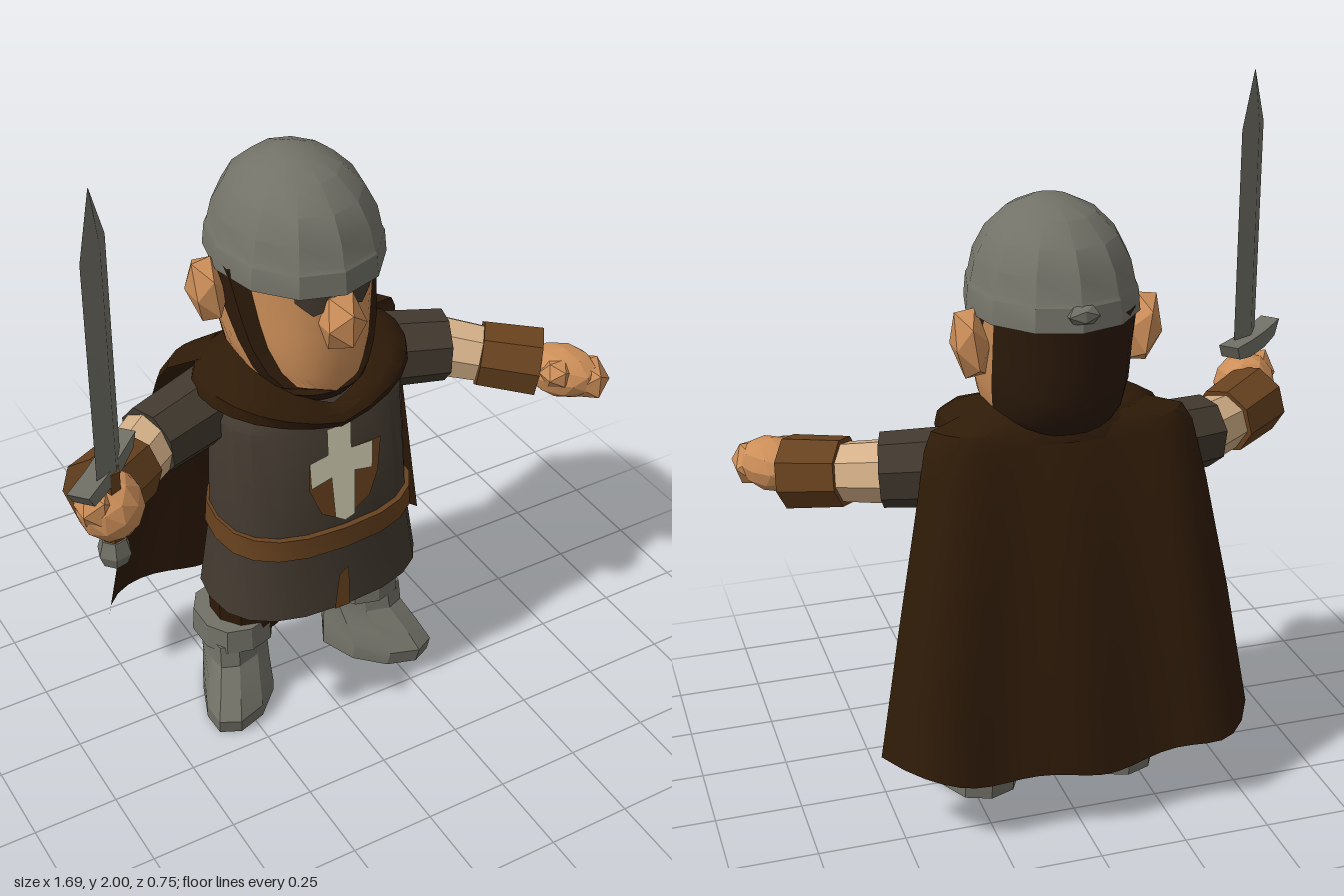
import * as THREE from 'three';
import { toCreasedNormals } from 'three/addons/utils/BufferGeometryUtils.js';

const mat = (name, color, extra = {}) => new THREE.MeshStandardMaterial({ name, color, ...extra });
const M = {
  metal: mat('steel grey', 0x737268),
  tunic: mat('dark tunic', 0x433a30),
  cape: mat('dark brown cloth', 0x2f1b08, { side: THREE.DoubleSide }),
  hair: mat('dark hair', 0x2c1a0a),
  leather: mat('brown leather', 0x68421f),
  skin: mat('skin', 0xcd8f59),
  linen: mat('pale linen', 0xd4b088),
  ivory: mat('ivory paint', 0xd8d2b6),
};

const lerp = THREE.MathUtils.lerp;
const PI = Math.PI;

export function createModel() {
  const model = new THREE.Group();
  model.name = 'knight';

  const add = (name, geo, material, crease = 0.55, parent = model) => {
    const mesh = new THREE.Mesh(toCreasedNormals(geo, crease), material);
    mesh.name = name;
    parent.add(mesh);
    return mesh;
  };

  // Grid surface; f(u, v) returns [x, y, z], u runs round and v runs up
  const patch = (nu, nv, f) => {
    const pos = [], idx = [];
    for (let j = 0; j <= nv; j++)
      for (let i = 0; i <= nu; i++) pos.push(...f(i / nu, j / nv));
    for (let j = 0; j < nv; j++)
      for (let i = 0; i < nu; i++) {
        const a = j * (nu + 1) + i, d = a + nu + 1;
        idx.push(a, a + 1, d, a + 1, d + 1, d);
      }
    const g = new THREE.BufferGeometry();
    g.setAttribute('position', new THREE.Float32BufferAttribute(pos, 3));
    g.setIndex(idx);
    return g;
  };

  // Interpolated row of a table whose first column is sorted
  const rowAt = (table, y) => {
    let i = 0;
    while (i < table.length - 2 && y > table[i + 1][0]) i++;
    const a = table[i], b = table[i + 1];
    const t = THREE.MathUtils.clamp((y - a[0]) / (b[0] - a[0]), 0, 1);
    return a.map((v, k) => lerp(v, b[k], t));
  };

  // Ring point: row = [y, half width, front z, back z], angle 0 faces front
  const ring = ([y, rx, zf, zb], th, e = 2) => {
    const c = Math.cos(th), s = Math.sin(th), p = 2 / e;
    return [rx * Math.sign(s) * Math.abs(s) ** p, y, (c > 0 ? zf : -zb) * Math.sign(c) * Math.abs(c) ** p];
  };

  // Closed loft through the rows, capped at both ends
  const loft = (rows, { seg = 16, e = 2, cx = 0, shear = 0 } = {}) => {
    const cap = (r) => [r[0], 0, (r[2] + r[3]) / 2, (r[2] + r[3]) / 2];
    const all = [cap(rows[0]), ...rows, cap(rows[rows.length - 1])];
    return patch(seg, all.length - 1, (u, v) => {
      const r = all[Math.round(v * (all.length - 1))];
      const mid = (r[2] + r[3]) / 2, half = (r[2] - r[3]) / 2;
      const [x, y, z] = ring([r[0], r[1], half, -half], u * 2 * PI, e);
      return [cx + x + shear * Math.max(0, z + mid), y, z + mid];
    });
  };

  // Tapered segment between two points
  const limb = (name, a, b, r0, r1, material, parent) => {
    const A = new THREE.Vector3(...a), B = new THREE.Vector3(...b), d = B.clone().sub(A);
    const mesh = add(name, new THREE.CylinderGeometry(r1, r0, d.length(), 8), material, 0.55, parent);
    mesh.position.copy(A.add(B).multiplyScalar(0.5));
    mesh.quaternion.setFromUnitVectors(new THREE.Vector3(0, 1, 0), d.normalize());
  };

  const lump = (name, at, size, material, detail = 0, parent = model) => {
    const mesh = add(name, new THREE.IcosahedronGeometry(1, detail).scale(...size), material, 0.3, parent);
    mesh.position.set(...at);
    return mesh;
  };

  // Tunic, belt and painted shield
  const body = [[0.435, 0.328, 0.27, -0.17], [0.65, 0.295, 0.25, -0.16], [0.73, 0.29, 0.25, -0.16],
    [1.05, 0.28, 0.21, -0.15], [1.1, 0.25, 0.18, -0.14], [1.16, 0.16, 0.1, -0.1]];
  add('tunic', loft(body, { seg: 20, e: 2.5 }), M.tunic);
  add('belt', loft([[0.65, 0.305, 0.268, -0.17], [0.72, 0.3, 0.268, -0.17]], { seg: 20, e: 2.5 }), M.leather);
  const plate = (name, pts, off, material) => {
    const g = new THREE.ShapeGeometry(new THREE.Shape(pts.map((p) => new THREE.Vector2(...p))));
    const p = g.attributes.position;
    for (let i = 0; i < p.count; i++) p.setZ(i, rowAt(body, p.getY(i))[2] + off);
    add(name, g, material);
  };
  plate('chestShield', [[-0.1, 0.95], [0, 0.96], [0.13, 0.965], [0.115, 0.86], [0.085, 0.79], [0, 0.74],
    [-0.07, 0.78], [-0.105, 0.87]], 0.004, M.leather);
  plate('chestCross', [[-0.04, 1.045], [0.035, 1.045], [0.032, 0.965], [0.1, 0.965], [0.095, 0.88], [0.04, 0.89],
    [0.032, 0.75], [0, 0.74], [-0.03, 0.76], [-0.035, 0.89], [-0.1, 0.875], [-0.1, 0.955], [-0.042, 0.965]], 0.009, M.ivory);
  plate('tunicSlit', [[-0.04, 0.437], [0.01, 0.437], [0.012, 0.57], [-0.02, 0.55]], 0.005, M.leather);

  // Legs and boots
  for (const s of [1, -1]) {
    const leg = new THREE.Group();
    leg.name = s > 0 ? 'leftLeg' : 'rightLeg';
    model.add(leg);
    add('breeches', loft([[0.375, 0.14, 0.14, -0.16], [0.47, 0.145, 0.15, -0.15]], { seg: 10, cx: s * 0.15 }), M.leather, 0.55, leg);
    add('stocking', loft([[0.25, 0.108, 0.085, -0.12], [0.4, 0.118, 0.105, -0.13]], { seg: 10, cx: s * 0.175 }), M.cape, 0.55, leg);
    add('boot', loft([[0, 0.118, 0.19, -0.13], [0.05, 0.118, 0.2, -0.135], [0.11, 0.108, 0.155, -0.135],
      [0.17, 0.1, 0.1, -0.13], [0.24, 0.102, 0.09, -0.13]], { seg: 10, e: 2.2, cx: s * 0.212, shear: s * 0.5 }), M.metal, 0.4, leg);
    add('bootCuff', loft([[0.205, 0.1, 0.085, -0.13], [0.22, 0.116, 0.105, -0.15], [0.3, 0.112, 0.1, -0.145]],
      { seg: 10, e: 2.3, cx: s * 0.22 }), M.metal, 0.4, leg);
  }

  // Arms, with the right forearm raised to hold the sword
  for (const s of [1, -1]) {
    const arm = new THREE.Group();
    arm.name = s > 0 ? 'leftArm' : 'rightArm';
    model.add(arm);
    const wrist = s > 0 ? 0.985 : 1.04;
    const elbow = [s * 0.475, 1.025, 0.005], mid = [s * 0.56, s > 0 ? 1.005 : 1.02, 0.07];
    limb('sleeve', [s * 0.2, 1.04, -0.08], elbow, 0.115, 0.105, M.tunic, arm);
    limb('underSleeve', [s * 0.45, 1.025, -0.01], mid, 0.092, 0.086, M.linen, arm);
    limb('bracer', mid, [s * 0.7, wrist, 0.165], 0.1, 0.106, M.leather, arm);
    if (s > 0) {
      const hand = lump('hand', [0.735, 0.985, 0.235], [0.082, 0.078, 0.115], M.skin, 1, arm);
      hand.rotation.y = 0.6;
      lump('fingers', [0.787, 0.975, 0.285], [0.062, 0.07, 0.078], M.skin, 0, arm);
      lump('thumb', [0.69, 1.01, 0.27], [0.05, 0.045, 0.05], M.skin, 0, arm);
    } else {
      lump('fist', [-0.695, 1.06, 0.235], [0.092, 0.1, 0.098], M.skin, 1, arm);
      lump('knuckles', [-0.74, 1.09, 0.26], [0.06, 0.075, 0.06], M.skin, 0, arm);
    }
  }

  // Sword, turned diagonally
  const sword = new THREE.Group();
  sword.name = 'sword';
  sword.position.set(-0.702, 0, 0.264);
  sword.rotation.y = 0.74;
  model.add(sword);
  add('blade', loft([[1.18, 0.074, 0.022, -0.022], [1.84, 0.074, 0.02, -0.02], [2, 0.001, 0.001, -0.001]], { seg: 4 }), M.metal, 0.2, sword);
  const guard = new THREE.Shape([[-0.155, 1.22], [-0.125, 1.175], [-0.05, 1.16], [0.05, 1.16], [0.125, 1.175], [0.145, 1.215],
    [0.05, 1.21], [-0.05, 1.21]].map((p) => new THREE.Vector2(...p)));
  add('guard', new THREE.ExtrudeGeometry(guard, { depth: 0.06, bevelEnabled: false }).translate(0, 0, -0.045), M.metal, 0.3, sword);
  add('grip', new THREE.CylinderGeometry(0.03, 0.03, 0.25, 6).translate(0, 1.07, 0), M.leather, 0.3, sword);
  add('pommel', loft([[0.895, 0.035, 0.035, -0.035], [0.93, 0.048, 0.048, -0.048], [0.975, 0.035, 0.035, -0.035]], { seg: 6 }), M.metal, 0.3, sword);

  // Head: face, raised chin strap beard and back hair follow one skull table
  const skull = [[1.105, 0, 0.06, 0.06], [1.115, 0.115, 0.18, -0.13], [1.145, 0.162, 0.2, -0.2], [1.2, 0.188, 0.208, -0.26],
    [1.28, 0.205, 0.215, -0.28], [1.5, 0.226, 0.2, -0.3]];
  // Angles where face, strap and cheek end, by height
  const edges = [[1.105, 0, 1.0, 1.6], [1.15, 0, 1.1, 1.7], [1.17, 0.72, 1.15, 1.75], [1.21, 0.95, 1.3, 1.85],
    [1.3, 1.2, 1.55, 1.95], [1.5, 1.42, 1.98, 2.1]];
  const rowsY = [1.105, 1.115, 1.15, 1.17, 1.21, 1.28, 1.35, 1.42, 1.5];
  const headPatch = (name, from, to, n, material, widen = () => 1) =>
    add(name, patch(n, rowsY.length - 1, (u, v) => {
      const y = rowsY[Math.round(v * (rowsY.length - 1))], e = rowAt(edges, y);
      const p = ring(rowAt(skull, y), lerp(from(e), to(e), u), 2.3);
      return [p[0] * widen(u), p[1], p[2]];
    }), material, 0.7);
  headPatch('face', (e) => -e[1], (e) => e[1], 12, M.skin, () => 0.82);
  headPatch('hair', (e) => e[3], (e) => 2 * PI - e[3], 12, M.hair);
  for (const s of [1, -1]) {
    const [a, b] = s > 0 ? [1, 2] : [2, 1];
    headPatch('beardStrap', (e) => s * e[a], (e) => s * e[b], 5, M.hair,
      (u) => lerp(0.82, 1, Math.min(1, 5 * (s > 0 ? u : 1 - u))));
    headPatch('cheekBack', (e) => s * e[a + 1], (e) => s * e[b + 1], 3, M.skin);
    // Shaded eye patch
    add('eye', patch(4, 1, (u, v) => {
      const th = s * lerp(0.1, 0.62, s > 0 ? u : 1 - u);
      const drop = Math.abs(Math.abs(th) - 0.32) * 0.16;
      const [x, y, z] = ring(rowAt(skull, lerp(1.405 + drop, 1.485, v)), th, 2.3);
      return [x * 0.84, y, z + 0.007];
    }), M.tunic);
    const ear = lump('ear', [s * 0.242, 1.395, -0.08], [0.055, 0.112, 0.078], M.skin);
    ear.rotation.z = -s * 0.15;
  }
  lump('nose', [0, 1.385, 0.215], [0.068, 0.092, 0.078], M.skin);

  // Helmet with a raised band
  const profile = [[0.2, 1.475], [0.238, 1.475], [0.232, 1.54], [0.225, 1.552], [0.212, 1.612], [0.178, 1.677],
    [0.12, 1.735], [0.055, 1.766], [0, 1.77]].map((p) => new THREE.Vector2(...p));
  add('helmet', new THREE.LatheGeometry(profile, 12).scale(1, 1, 1.17).translate(0.004, 0, -0.04), M.metal, 0.45);
  lump('helmetRivet', [0, 1.52, -0.305], [0.05, 0.03, 0.025], M.metal);

  // Collar wrapped round the neck, low at the front
  add('capeCollar', patch(24, 3, (u, v) => {
    const th = (u - 0.5) * 2 * PI, k = Math.sin(Math.min(Math.abs(th), 2) * PI / 4);
    const rows = [[1.05 + 0.08 * k, 0.32, 0.232, -0.21], [1.07 + 0.1 * k, 0.31, 0.243, -0.205],
      [1.09 + 0.11 * k, 0.26, 0.23, -0.18], [1.1 + 0.115 * k, 0.19, 0.185, -0.13]];
    return ring(rows[Math.round(v * 3)], th, 2.1);
  }), M.cape, 0.8);

  // Cape sheet: rows of [y, half width, back z, edge z]
  const capeRows = [[0.2, 0.55, -0.36, -0.2], [0.6, 0.485, -0.31, -0.18], [0.95, 0.42, -0.25, -0.15],
    [1.12, 0.385, -0.205, -0.12], [1.165, 0.36, -0.19, -0.1], [1.19, 0.25, -0.16, -0.06]];
  const steps = [0.2, 0.4, 0.6, 0.78, 0.95, 1.05, 1.12, 1.165, 1.19];
  add('cape', patch(24, steps.length - 1, (u, v) => {
    const q = 1 - 2 * u, low = 1 - v;
    const [y, w, zb, ze] = rowAt(capeRows, steps[Math.round(v * (steps.length - 1))]);
    const fold = 0.014 * low * Math.cos(q * 7.9);
    const hem = low ** 3 * (0.055 * q * q - 0.015 + 0.012 * Math.sin(q * 9));
    return [q * w, y + hem, lerp(zb, ze, Math.abs(q) ** 7) - fold];
  }), M.cape, 0.7);

  return model;
}
